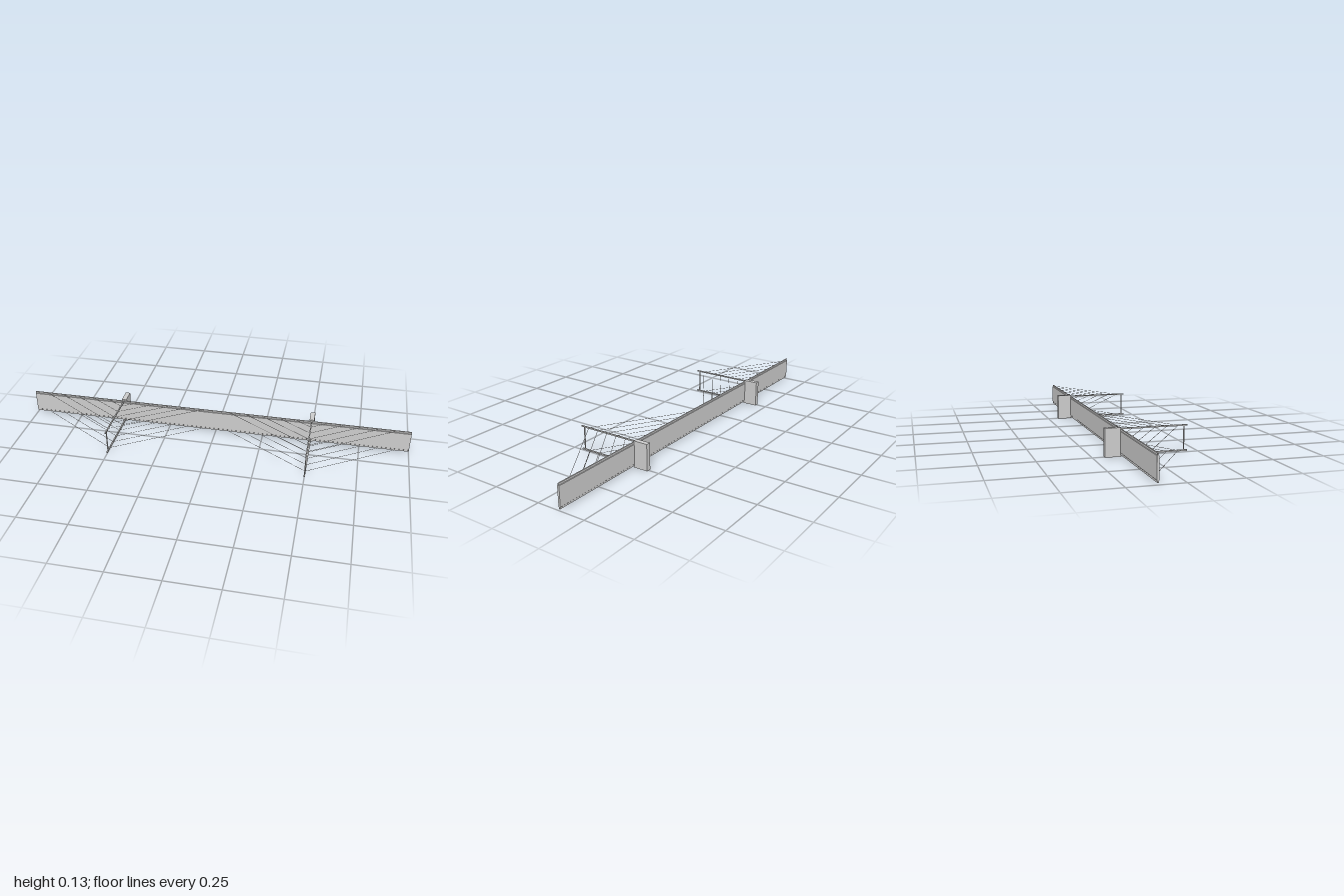
import * as THREE from 'three';

const material = new THREE.MeshStandardMaterial({ color: 0xcccccc, flatShading: true });

// Plane of the road and heights of the two edges that carry towers and cables
const DECK_Z = -0.12;
const EDGES = [0.008, 0.125];
const MID_Y = 0.0665;

function addMesh(parent, name, geometry, x = 0, y = 0, z = 0) {
  const mesh = new THREE.Mesh(geometry, material);
  mesh.name = name;
  mesh.position.set(x, y, z);
  parent.add(mesh);
  return mesh;
}

function addBox(parent, name, size, x, y, z) {
  return addMesh(parent, name, new THREE.BoxGeometry(...size), x, y, z);
}

// Thin straight cable between two points
function addCable(parent, from, to) {
  const dir = to.clone().sub(from);
  const cable = addMesh(parent, 'stayCable', new THREE.CylinderGeometry(0.001, 0.001, dir.length(), 6));
  cable.position.copy(from).add(to).multiplyScalar(0.5);
  cable.quaternion.setFromUnitVectors(new THREE.Vector3(0, 1, 0), dir.normalize());
}

// Road slab with chamfered long edges, extruded along x
function createDeck() {
  const deck = new THREE.Group();
  deck.name = 'deck';
  const h = 0.05, t = 0.005, c = 0.002;
  const section = new THREE.Shape([
    [-t, -h + c], [-t + c, -h], [t - c, -h], [t, -h + c],
    [t, h - c], [t - c, h], [-t + c, h], [-t, h - c],
  ].map(([x, y]) => new THREE.Vector2(x, y)));
  const slab = new THREE.ExtrudeGeometry(section, { depth: 2, bevelEnabled: false });
  slab.translate(0, 0, -1).rotateY(Math.PI / 2);
  addMesh(deck, 'roadSlab', slab, 0, MID_Y, DECK_Z);
  // Edge beams along both sides
  for (const s of [-1, 1]) {
    addBox(deck, 'edgeBeam', [2, 0.009, 0.006], 0, MID_Y + s * 0.054, DECK_Z);
  }
  return deck;
}

// Tower frame with its pier and two planes of parallel cables
function createTower(x) {
  const tower = new THREE.Group();
  tower.name = 'tower';
  tower.position.x = x;
  addBox(tower, 'pier', [0.024, 0.132, 0.074], 0, 0.066, -0.158);
  addBox(tower, 'crossbeam', [0.005, 0.115, 0.004], 0, MID_Y, 0.18);
  for (const y of EDGES) {
    addBox(tower, 'towerLeg', [0.006, 0.0065, 0.319], 0, y, 0.0365);
    for (let i = 1; i <= 5; i++) {
      for (const side of [-1, 1]) {
        addCable(
          tower,
          new THREE.Vector3(0, y, DECK_Z + 0.0545 * i),
          new THREE.Vector3(side * 0.0865 * i, y, DECK_Z),
        );
      }
    }
  }
  return tower;
}

export function createModel() {
  const bridge = new THREE.Group();
  bridge.name = 'cableStayedBridge';
  bridge.add(createDeck());
  for (const x of [-0.5, 0.5]) bridge.add(createTower(x));
  return bridge;
}
